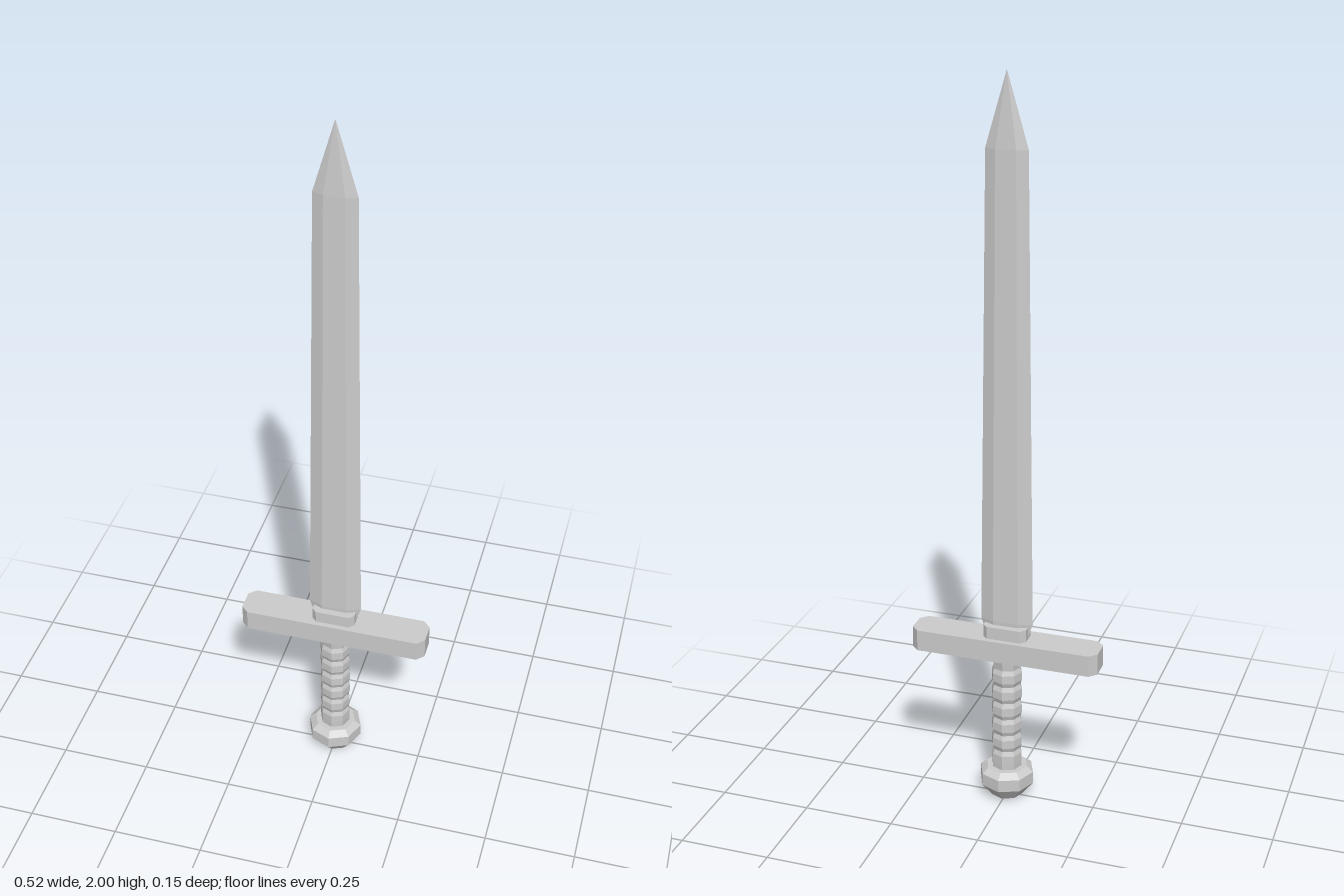
import * as THREE from 'three';

const steel = new THREE.MeshStandardMaterial({ color: 0xcccccc, flatShading: true });

function addMesh(group, name, geometry) {
  const mesh = new THREE.Mesh(geometry, steel);
  mesh.name = name;
  group.add(mesh);
}

// Flat block with chamfered vertical corners, standing on height y
function chamferedBlock(halfX, halfZ, cut, y, height) {
  const shape = new THREE.Shape([
    [halfX, -halfZ + cut], [halfX, halfZ - cut], [halfX - cut, halfZ], [-halfX + cut, halfZ],
    [-halfX, halfZ - cut], [-halfX, -halfZ + cut], [-halfX + cut, -halfZ], [halfX - cut, -halfZ],
  ].map(([x, z]) => new THREE.Vector2(x, z)));
  return new THREE.ExtrudeGeometry(shape, { depth: height, bevelEnabled: false })
    .rotateX(-Math.PI / 2).translate(0, y, 0);
}

// Eight-sided turned part from [radius, y] pairs, bottom to top
function turned(profile) {
  return new THREE.LatheGeometry(profile.map(([r, y]) => new THREE.Vector2(r, y)), 8);
}

// Six-sided blade lofted through [y, half width, half flat, half thickness]
function bladeGeometry(sections) {
  const positions = [];
  const index = [];
  for (const [y, w, f, t] of sections) {
    positions.push(w, y, 0, f, y, t, -f, y, t, -w, y, 0, -f, y, -t, f, y, -t);
  }
  for (let i = 0; i < sections.length - 1; i++) {
    for (let j = 0; j < 6; j++) {
      const a = i * 6 + j;
      const b = i * 6 + (j + 1) % 6;
      index.push(a, a + 6, b, b, a + 6, b + 6);
    }
  }
  for (let j = 1; j < 5; j++) index.push(0, j, j + 1); // bottom cap
  const geometry = new THREE.BufferGeometry();
  geometry.setAttribute('position', new THREE.Float32BufferAttribute(positions, 3));
  geometry.setIndex(index);
  const flat = geometry.toNonIndexed();
  flat.computeVertexNormals();
  return flat;
}

export function createModel() {
  const group = new THREE.Group();
  group.name = 'sword';

  addMesh(group, 'blade', bladeGeometry([
    [0.49, 0.058, 0.03, 0.012],
    [0.535, 0.073, 0.035, 0.015],
    [1.81, 0.056, 0.027, 0.011],
    [2.0, 0.0005, 0.0002, 0.0002],
  ]));
  addMesh(group, 'collar', chamferedBlock(0.06, 0.033, 0.013, 0.485, 0.04));
  addMesh(group, 'crossguard', chamferedBlock(0.262, 0.047, 0.02, 0.43, 0.06));

  // Grip with shallow finger grooves
  const grip = [[0.042, 0.085]];
  for (let i = 0; i < 6; i++) {
    const y = 0.125 + i * 0.05;
    grip.push([0.043, y - 0.012], [0.043, y + 0.012], [0.038, y + 0.025]);
  }
  grip.push([0.042, 0.435]);
  addMesh(group, 'grip', turned(grip));

  // Faceted pommel
  addMesh(group, 'pommel', turned([
    [0, 0], [0.045, 0.006], [0.076, 0.045], [0.076, 0.08], [0.058, 0.095], [0, 0.095],
  ]));
  return group;
}
